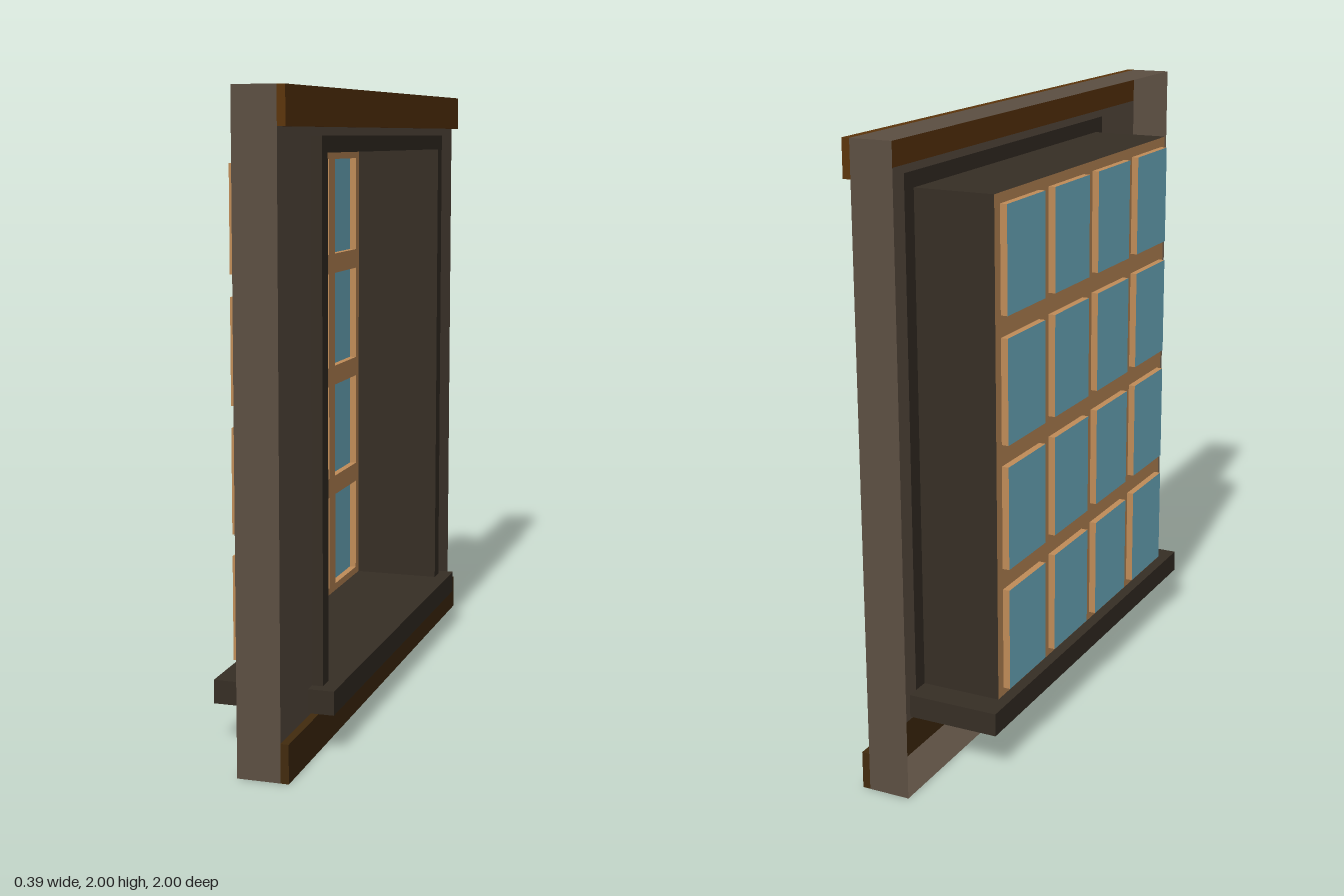
import * as THREE from 'three';

const mat = (name, color) => {
  const m = new THREE.MeshStandardMaterial({ color, side: THREE.DoubleSide });
  m.name = name;
  return m;
};

// rectangle outline in the (z, y) plane
function rect(Type, z0, z1, y0, y1) {
  const p = new Type();
  p.moveTo(z0, y0);
  p.lineTo(z1, y0);
  p.lineTo(z1, y1);
  p.lineTo(z0, y1);
  p.closePath();
  return p;
}

export function createModel() {
  const wall = mat('plaster', 0x5c4f42);
  const topWood = mat('railBrown', 0x5c350c);
  const baseWood = mat('baseboardBrown', 0x422b0e);
  const dark = mat('darkTrim', 0x362e25);
  const wood = mat('windowWood', 0xc08c58);
  const glass = mat('glass', 0x74b7cc);

  const model = new THREE.Group();
  const add = (parent, name, geo, material) => {
    const m = new THREE.Mesh(geo, material);
    m.name = name;
    parent.add(m);
    return m;
  };
  const group = (name) => {
    const g = new THREE.Group();
    g.name = name;
    model.add(g);
    return g;
  };
  const box = (parent, name, material, x0, x1, y0, y1, z0, z1) =>
    add(parent, name, new THREE.BoxGeometry(x1 - x0, y1 - y0, z1 - z0), material)
      .position.set((x0 + x1) / 2, (y0 + y1) / 2, (z0 + z1) / 2);
  // flat sheet facing +x
  const sheet = (parent, name, shape, material, x) =>
    add(parent, name, new THREE.ShapeGeometry(shape).rotateY(Math.PI / 2), material).position.x = x;
  // thin panel running back along x: horizontal at height y, or vertical at depth z
  const level = (parent, name, material, x0, x1, y, halfZ) =>
    add(parent, name, new THREE.PlaneGeometry(x1 - x0, halfZ * 2).rotateX(-Math.PI / 2), material)
      .position.set((x0 + x1) / 2, y, 0);
  const upright = (parent, name, material, x0, x1, y0, y1, z) =>
    add(parent, name, new THREE.PlaneGeometry(x1 - x0, y1 - y0).rotateY(z < 0 ? Math.PI : 0), material)
      .position.set((x0 + x1) / 2, (y0 + y1) / 2, z);

  // Wall: front sheet with an opening and four edges, open at the back
  const wallGroup = group('wall');
  const face = rect(THREE.Shape, -1, 1, 0.12, 1.885);
  face.holes.push(rect(THREE.Path, -0.71, 0.71, 0.13, 1.86));
  sheet(wallGroup, 'wallFace', face, wall, 0.11);
  level(wallGroup, 'wallTop', wall, -0.025, 0.11, 2, 1);
  level(wallGroup, 'wallBottom', wall, -0.025, 0.11, 0, 1);
  for (const z of [-1, 1]) upright(wallGroup, 'wallEnd', wall, -0.025, 0.11, 0, 2, z);

  // Boards along the top and bottom of the wall
  box(model, 'topRail', topWood, 0.11, 0.135, 1.885, 2, -1, 1);
  box(model, 'baseboard', baseWood, 0.11, 0.135, 0, 0.12, -1, 1);

  // Trim around the opening, the sill, and the deep reveal
  const surround = group('windowSurround');
  const backX = -0.157;
  for (const s of [-1, 1]) {
    box(surround, 'sideTrim', dark, 0.11, 0.145, 0.205, 1.81, Math.min(s * 0.655, s * 0.71), Math.max(s * 0.655, s * 0.71));
    upright(surround, 'revealSide', dark, backX, 0.11, 0.205, 1.81, s * 0.655);
  }
  box(surround, 'headTrim', dark, 0.11, 0.145, 1.81, 1.86, -0.71, 0.71);
  level(surround, 'revealTop', dark, backX, 0.11, 1.81, 0.655);
  box(surround, 'sill', dark, -0.195, 0.192, 0.13, 0.205, -0.75, 0.75);

  // Window grid: sheet with sixteen openings, each with a lip around its pane
  const win = group('window');
  const grid = rect(THREE.Shape, -0.655, 0.655, 0.205, 1.81);
  const paneX = -0.18, w = 0.257, h = 0.335;
  for (let row = 0; row < 4; row++) {
    for (let col = 0; col < 4; col++) {
      const z = (col - 1.5) * 0.327, y = 0.398 + row * 0.404;
      const z0 = z - w / 2, z1 = z + w / 2, y0 = y - h / 2, y1 = y + h / 2;
      grid.holes.push(rect(THREE.Path, z0, z1, y0, y1));
      for (const edge of [z0, z1]) {
        add(win, 'paneLip', new THREE.PlaneGeometry(backX - paneX, h), wood)
          .position.set((backX + paneX) / 2, y, edge);
      }
      for (const edge of [y0, y1]) {
        add(win, 'paneLip', new THREE.PlaneGeometry(backX - paneX, w).rotateX(-Math.PI / 2), wood)
          .position.set((backX + paneX) / 2, edge, z);
      }
      sheet(win, 'pane', rect(THREE.Shape, -z1, -z0, y0, y1), glass, paneX);
    }
  }
  sheet(win, 'windowGrid', grid, wood, backX);

  return model;
}
